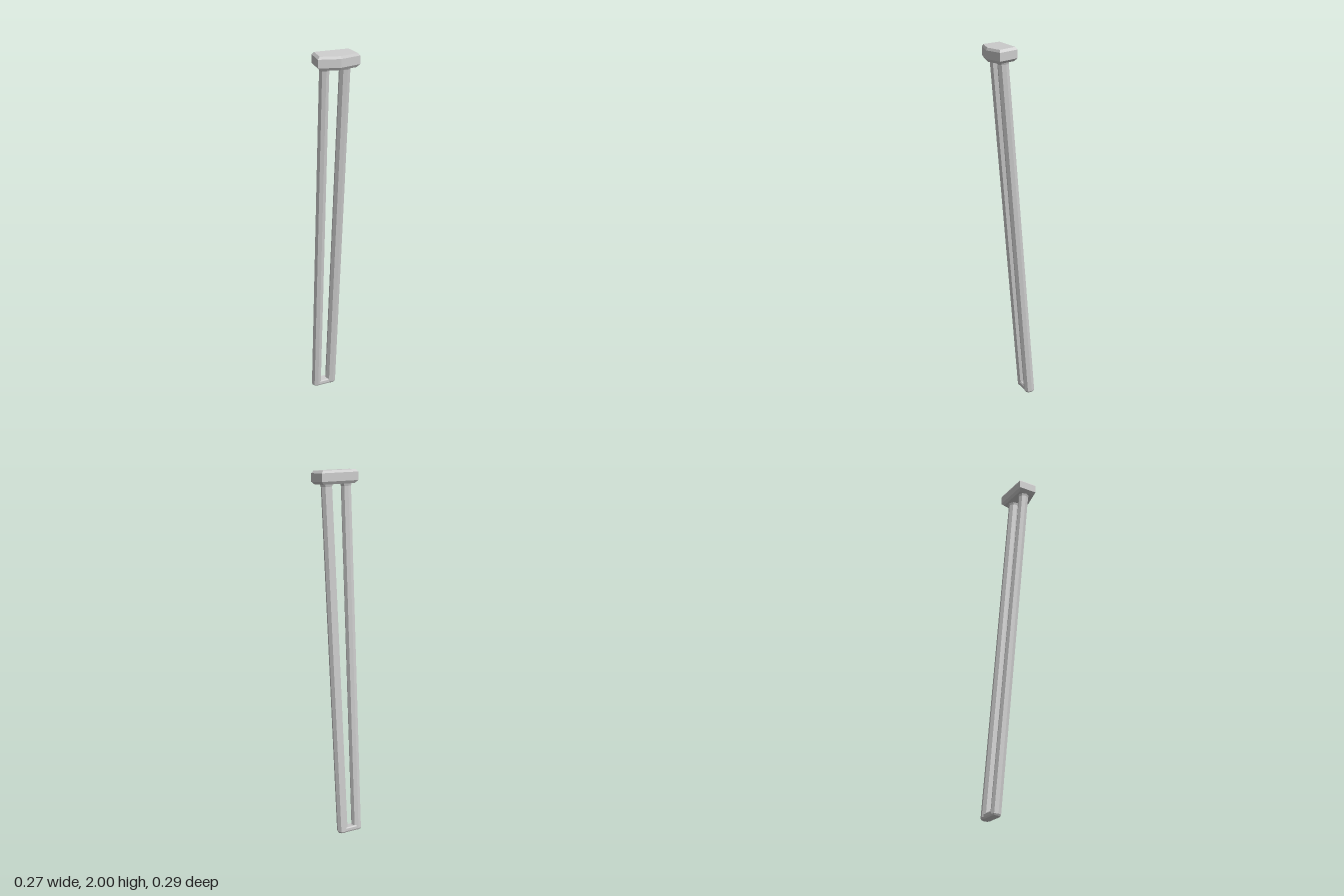
import * as THREE from 'three';

const material = new THREE.MeshStandardMaterial({ color: 0xcccccc, flatShading: true });

// The cap and foot planes lie square to the leaning legs.
const tilt = (x, z) => 0.05 * x - 0.07 * z;

// One cross-section: [x, z] points scaled about their centre at a level along the lean.
function section(points, level, scale = 1) {
  const n = points.length;
  const cx = points.reduce((s, p) => s + p[0], 0) / n;
  const cz = points.reduce((s, p) => s + p[1], 0) / n;
  return points.map(([px, pz]) => {
    const x = cx + (px - cx) * scale, z = cz + (pz - cz) * scale;
    return [x, level + tilt(x, z), z];
  });
}

// Closed solid through sections listed from bottom to top, corners anticlockwise from above.
function loft(name, sections) {
  const n = sections[0].length, index = [];
  for (let s = 0; s < sections.length - 1; s++) {
    for (let i = 0; i < n; i++) {
      const a = s * n + i, b = s * n + (i + 1) % n;
      index.push(a, b, b + n, a, b + n, a + n);
    }
  }
  const top = (sections.length - 1) * n;
  for (let i = 1; i < n - 1; i++) {
    index.push(0, i + 1, i, top, top + i, top + i + 1);
  }
  const geometry = new THREE.BufferGeometry();
  geometry.setAttribute('position', new THREE.Float32BufferAttribute(sections.flat(2), 3));
  geometry.setIndex(index);
  const flat = geometry.toNonIndexed();
  flat.computeVertexNormals();
  const mesh = new THREE.Mesh(flat, material);
  mesh.name = name;
  return mesh;
}

// Octagonal leg with a bevelled end and a small flare under the cap.
function leg(name, bottom, top, radius, turn) {
  const rings = [[-0.008, 0.82], [0.001, 1], [1.915, 1], [1.95, 1.35]].map(([level, scale]) => {
    const t = level / 1.93;
    const x = bottom[0] + (top[0] - bottom[0]) * t;
    const z = bottom[1] + (top[1] - bottom[1]) * t;
    const points = Array.from({ length: 8 }, (_, i) => {
      const a = turn + i * Math.PI / 4;
      return [x + radius * Math.cos(a), z - radius * Math.sin(a)];
    });
    return section(points, level, scale);
  });
  return loft(name, rings);
}

export function createModel() {
  const model = new THREE.Group();
  model.name = 'twinLegPost';

  // Legs
  const right = [0.031, -0.118], left = [0.109, -0.074];
  model.add(leg('rightLeg', right, [-0.066, 0.013], 0.028, 0.25));
  model.add(leg('leftLeg', left, [0.03, 0.073], 0.03, Math.PI / 8));

  // Foot bar joining the legs
  const back = [0.012, -0.021];
  const bar = [[right, 1], [right, -1], [left, -1], [left, 1]]
    .map(([p, s]) => [p[0] + s * back[0], p[1] + s * back[1]]);
  model.add(loft('footBar', [
    section(bar, -0.008, 0.85), section(bar, 0), section(bar, 0.015), section(bar, 0.021, 0.85),
  ]));

  // Five-sided bevelled cap
  const outline = [[-0.08, -0.055], [-0.138, 0.025], [-0.05, 0.107], [0.065, 0.144], [0.105, 0.052]];
  model.add(loft('cap', [
    section(outline, 1.928, 0.85), section(outline, 1.943),
    section(outline, 1.987), section(outline, 2, 0.9),
  ]));
  return model;
}
